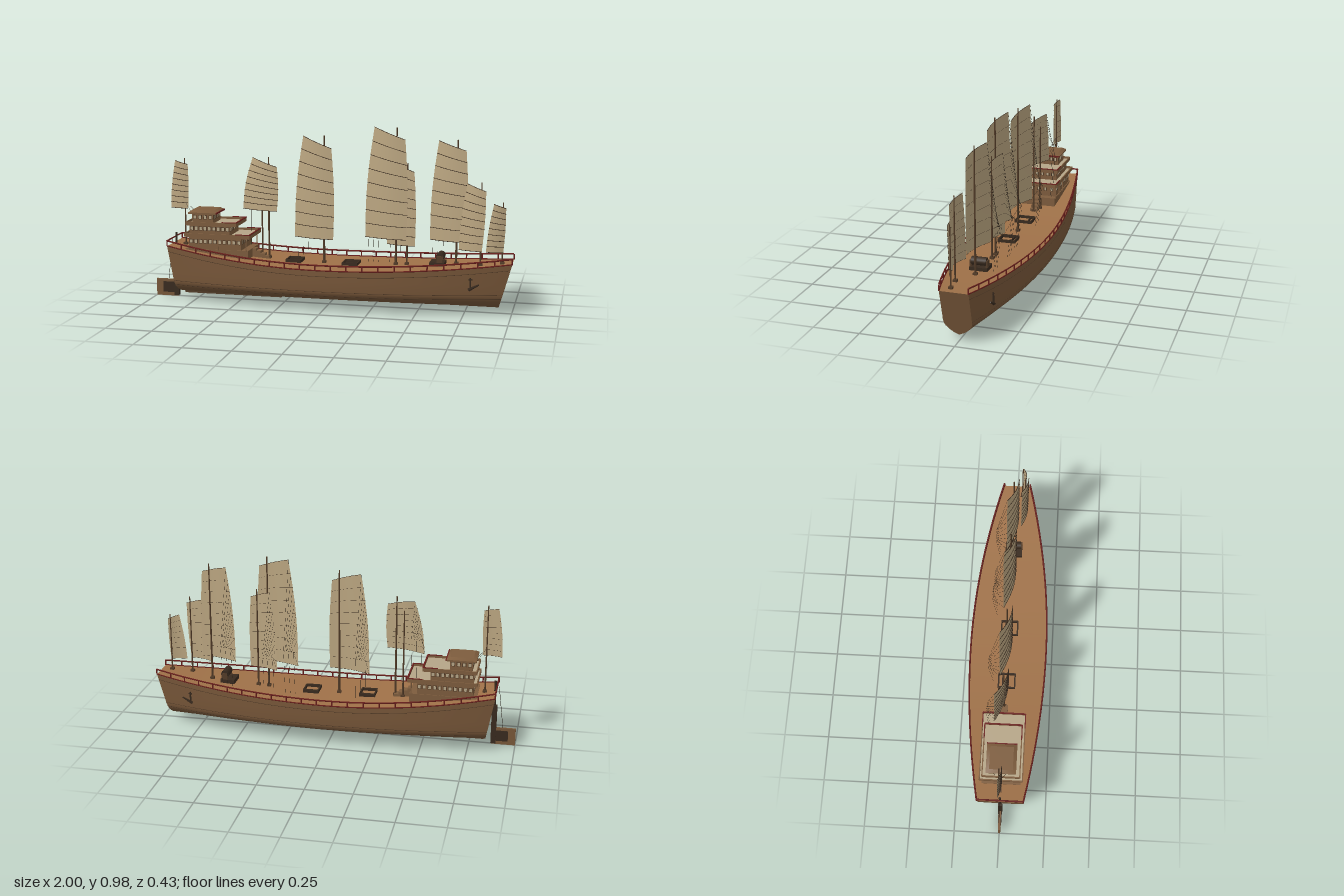
import * as THREE from 'three';

export function createModel() {
  const root = new THREE.Group();
  const mat = (name, color, side = THREE.FrontSide) => {
    const m = new THREE.MeshStandardMaterial({ color, side });
    m.name = name;
    return m;
  };
  const M = {
    hull: mat('hullWood', 0x785739, THREE.DoubleSide),
    deck: mat('deckWood', 0x9f7148, THREE.DoubleSide),
    sail: mat('sailCloth', 0xbaa580, THREE.DoubleSide),
    dark: mat('darkWood', 0x382a1e),
    rail: mat('redRail', 0x6a1f1c),
    wall: mat('houseWood', 0x7d5c3d),
    beige: mat('paleDeck', 0xb5a587),
    rope: mat('rope', 0x2c241b),
    spar: mat('sparWood', 0x533c28),
  };

  // ---- helpers ----
  const add = (name, geo, m, parent = root) => {
    const mesh = new THREE.Mesh(geo, m);
    mesh.name = name;
    parent.add(mesh);
    return mesh;
  };
  const group = (name) => {
    const g = new THREE.Group();
    g.name = name;
    root.add(g);
    return g;
  };
  const box = (name, x0, x1, y0, y1, z0, z1, m, parent) => {
    const b = add(name, new THREE.BoxGeometry(x1 - x0, y1 - y0, z1 - z0), m, parent);
    b.position.set((x0 + x1) / 2, (y0 + y1) / 2, (z0 + z1) / 2);
    return b;
  };
  const V = (x, y, z) => new THREE.Vector3(x, y, z);
  const rod = (name, a, b, r0, r1, m, parent, sides = 4) => {
    const d = b.clone().sub(a);
    const c = add(name, new THREE.CylinderGeometry(r1, r0, d.length(), sides), m, parent);
    c.position.copy(a).add(b).multiplyScalar(0.5);
    c.quaternion.setFromUnitVectors(V(0, 1, 0), d.normalize());
    return c;
  };
  const grid = (nu, nv, f) => {
    const pos = [], idx = [];
    for (let i = 0; i <= nu; i++) for (let j = 0; j <= nv; j++) pos.push(...f(i / nu, j / nv).toArray());
    for (let i = 0; i < nu; i++) for (let j = 0; j < nv; j++) {
      const a = i * (nv + 1) + j, b = a + nv + 1;
      idx.push(a, b, a + 1, b, b + 1, a + 1);
    }
    const g = new THREE.BufferGeometry();
    g.setAttribute('position', new THREE.Float32BufferAttribute(pos, 3));
    g.setIndex(idx);
    g.computeVertexNormals();
    return g;
  };
  const tube = (name, pts, r, m, parent, seg = 40) =>
    add(name, new THREE.TubeGeometry(new THREE.CatmullRomCurve3(pts), seg, r, 4), m, parent);

  // ---- hull lines: sheer height, half breadth, raked ends ----
  const deckY = (x) => 0.235 + (x > 0 ? 0.052 : 0.1) * x * x;
  const halfW = (x) => 0.212 - (x > 0 ? 0.137 : 0.11) * x * x;
  const section = [[1, 1], [0.18, 1], [0.12, 0.995], [0.1, 0.965], [0.084, 0.86], [0.067, 0.66], [0.05, 0.36], [0.037, 0]];
  const hullPoint = (s, y, w) => {
    const nx = -0.89 + 1.89 * s;
    const x0 = -0.89 + 0.05 * (0.314 - y) / 0.27, x1 = 1 - 0.07 * (0.287 - y) / 0.25;
    return V(x0 + (x1 - x0) * s, y, halfW(nx) * w);
  };
  const rib = (s, k, side) => {
    const [y, w] = section[k];
    return hullPoint(s, k === 0 ? deckY(-0.89 + 1.89 * s) : y, w * side);
  };
  add('hullShell', grid(48, 14, (u, v) => {
    const j = Math.round(v * 14);
    return j <= 7 ? rib(u, j, 1) : rib(u, 14 - j, -1);
  }), M.hull);
  [['sternTransom', 0], ['bowTransom', 1]].forEach(([n, s]) =>
    add(n, grid(2, 7, (u, v) => rib(s, Math.round(v * 7), 1 - 2 * u)), M.hull));
  add('mainDeck', grid(48, 2, (u, v) => rib(u, 0, 1 - 2 * v)), M.deck);
  box('keel', -0.83, -0.27, 0.028, 0.04, -0.006, 0.006, M.spar);

  // wales and guard rails on both sides
  for (const side of [1, -1]) {
    const along = (f) => Array.from({ length: 25 }, (_, i) => f(i / 24));
    tube('wale', along((s) => hullPoint(s, 0.1, side * 0.965)), 0.0025, M.spar);
    tube('upperWale', along((s) => hullPoint(s, 0.122, side * 0.995)), 0.0015, M.spar);
    tube('sheerStrake', along((s) => hullPoint(s, deckY(-0.89 + 1.89 * s) - 0.03, side)), 0.0015, M.spar);
    const edge = (h) => along((s) => rib(s, 0, side).add(V(0, h, 0)));
    tube('capRail', edge(0.03), 0.0045, M.rail, root, 60);
    tube('footRail', edge(0.002), 0.0035, M.rail, root, 60);
    for (let i = 0; i <= 22; i++) {
      const p = rib(i / 22, 0, side);
      rod('railPost', p, p.clone().add(V(0, 0.03, 0)), 0.004, 0.004, M.rail);
    }
    // anchor hung at the bow
    const a = group('anchor'), z = side * (halfW(0.8) + 0.006);
    rod('anchorShank', V(0.79, 0.155, z), V(0.79, 0.22, z), 0.005, 0.004, M.dark, a);
    rod('anchorFluke', V(0.78, 0.155, z), V(0.835, 0.185, z), 0.009, 0.004, M.dark, a);
    rod('anchorStock', V(0.78, 0.21, z), V(0.8, 0.21, z), 0.004, 0.004, M.dark, a);
  }
  rod('sternRail', V(-0.89, 0.344, -0.125), V(-0.89, 0.344, 0.125), 0.0045, 0.0045, M.rail);

  // ---- rudder ----
  const rudder = group('rudder');
  box('rudderBlade', -1, -0.87, 0.005, 0.1, -0.006, 0.006, M.hull, rudder);
  box('rudderPanel', -0.96, -0.87, 0.025, 0.085, -0.009, 0.009, M.dark, rudder);
  box('rudderPost', -0.895, -0.867, 0.01, 0.23, -0.011, 0.011, M.dark, rudder);
  rod('rudderStock', V(-0.88, 0.22, 0), V(-0.88, 0.37, 0), 0.006, 0.006, M.dark, rudder);
  rod('rudderTackle', V(-0.93, 0.1, 0), V(-0.9, 0.34, 0), 0.0012, 0.0012, M.rope, rudder);

  // ---- stern house: three stepped tiers ----
  const house = group('sternHouse');
  const tier = (x0, x1, y0, y1, hz, n) => {
    box('houseWall', x0, x1, y0, y1, -hz, hz, M.wall, house);
    const yc = y0 + (y1 - y0) * 0.62, h = 0.009, step = (x1 - x0) / n;
    for (let i = 0; i < n; i++) {
      const x = x0 + step * (i + 0.5);
      for (const s of [1, -1]) {
        box('windowFrame', x - 0.011, x + 0.011, yc - h - 0.003, yc + h + 0.003, s * hz - 0.002, s * hz + 0.002, M.spar, house);
        box('windowPane', x - 0.007, x + 0.007, yc - h, yc + h, s * hz - 0.003, s * hz + 0.003, M.beige, house);
      }
    }
    for (let i = -2; i <= 2; i++) for (const x of [x0, x1]) {
      const z = i * hz * 0.38;
      box('windowFrame', x - 0.002, x + 0.002, yc - h - 0.003, yc + h + 0.003, z - 0.01, z + 0.01, M.spar, house);
      box('windowPane', x - 0.003, x + 0.003, yc - h, yc + h, z - 0.005, z + 0.005, M.beige, house);
    }
  };
  const terrace = (x0, x1, y, hz) => {
    box('terrace', x0, x1, y, y + 0.008, -hz, hz, M.beige, house);
    for (const s of [1, -1]) {
      box('parapet', x0, x1, y, y + 0.02, s * hz - 0.003, s * hz + 0.003, M.wall, house);
      box('redTrim', x1 - 0.08, x1, y + 0.02, y + 0.024, s * hz - 0.003, s * hz + 0.003, M.rail, house);
    }
    for (const x of [x0, x1]) box('parapet', x - 0.003, x + 0.003, y, y + 0.02, -hz, hz, M.wall, house);
    box('redTrim', x1 - 0.004, x1 + 0.004, y + 0.02, y + 0.024, -hz, hz, M.rail, house);
  };
  box('porch', -0.79, -0.43, 0.24, 0.302, -0.105, 0.105, M.wall, house);
  tier(-0.77, -0.47, 0.3, 0.372, 0.1, 11);
  terrace(-0.79, -0.42, 0.37, 0.115);
  tier(-0.77, -0.54, 0.378, 0.436, 0.085, 9);
  terrace(-0.785, -0.5, 0.432, 0.1);
  tier(-0.76, -0.64, 0.44, 0.495, 0.068, 4);
  for (const x of [-0.6, -0.52, -0.44]) for (const s of [1, -1])
    box('porchPost', x - 0.003, x + 0.003, 0.3, 0.37, s * 0.108 - 0.003, s * 0.108 + 0.003, M.wall, house);
  for (let i = 0; i < 4; i++)
    box('porchStep', -0.43, -0.41 + i * 0.025, 0.24, 0.3 - i * 0.013, -0.03, 0.015, M.wall, house);
  box('roofEave', -0.78, -0.62, 0.492, 0.5, -0.08, 0.08, M.wall, house);
  box('eaveTrim', -0.622, -0.616, 0.494, 0.502, -0.08, 0.08, M.rail, house);
  const roof = add('roofTop', new THREE.CylinderGeometry(0.55, 0.7071, 0.012, 4).rotateY(Math.PI / 4), M.wall, house);
  roof.scale.set(0.16, 1, 0.16);
  roof.position.set(-0.7, 0.506, 0);

  // ---- open framed deck hatches and windlass ----
  for (const x of [-0.19, 0.125]) {
    const y = deckY(x), hatch = group('hatch');
    for (const s of [1, -1]) {
      box('hatchSide', x - 0.043, x + 0.043, y, y + 0.016, s * 0.045 - 0.004, s * 0.045 + 0.004, M.dark, hatch);
      box('hatchEnd', x + s * 0.04 - 0.004, x + s * 0.04 + 0.004, y, y + 0.016, -0.045, 0.045, M.dark, hatch);
    }
    box('hatchBeam', x - 0.04, x + 0.04, y, y + 0.012, -0.026, -0.021, M.dark, hatch);
  }
  const windlass = group('windlass');
  box('windlassBed', 0.56, 0.64, 0.245, 0.275, -0.048, 0.048, M.dark, windlass);
  for (const z of [-0.042, 0.042]) box('windlassCheek', 0.598, 0.632, 0.27, 0.31, z - 0.005, z + 0.005, M.spar, windlass);
  rod('windlassDrum', V(0.615, 0.303, -0.04), V(0.615, 0.303, 0.04), 0.022, 0.022, M.dark, windlass, 12);

  // ---- masts and battened sails ----
  // corners: b = bottom x, y = bottom height, t/ty = top x and y, z = left and right depth
  const rigs = [
    { n: 'sternRig', b: [-0.91, -0.805], y: 0.51, t: [-0.882, -0.803], ty: [0.775, 0.757], z: [-0.012, 0.005], mast: [-0.825, 0.79], sheet: 0 },
    { n: 'mizzenRig', b: [-0.5, -0.29], y: 0.513, t: [-0.443, -0.288], ty: [0.8, 0.757], z: [-0.05, 0.015], mast: [-0.34, 0.81], sheet: -0.09 },
    { n: 'aftMainRig', b: [-0.2, 0.028], y: 0.37, t: [-0.152, 0.018], ty: [0.927, 0.868], z: [-0.037, 0.02], mast: [-0.028, 0.935], sheet: -0.1 },
    { n: 'mainRig', b: [0.195, 0.43], y: 0.385, t: [0.243, 0.42], ty: [0.985, 0.925], z: [-0.037, 0.02], mast: [0.37, 0.987], sheet: -0.1 },
    { n: 'smallMidRig', b: [0.315, 0.475], y: 0.35, t: [0.35, 0.468], ty: [0.795, 0.752], z: [-0.04, 0.005], mast: [0.43, 0.8], sheet: -0.095 },
    { n: 'foreMainRig', b: [0.55, 0.755], y: 0.385, t: [0.592, 0.745], ty: [0.92, 0.875], z: [-0.037, 0.02], mast: [0.697, 0.93], sheet: -0.1 },
    { n: 'foreRig', b: [0.715, 0.84], y: 0.35, t: [0.755, 0.857], ty: [0.705, 0.67], z: [0.035, 0.068], mast: [0.832, 0.715], mz: 0.058, sheet: 0 },
    { n: 'bowRig', b: [0.86, 0.95], y: 0.345, t: [0.898, 0.96], ty: [0.603, 0.58], z: [0.052, 0.038], mast: [0.945, 0.61], mz: 0.04, sheet: 0 },
  ];
  const mast = (x, top, z, r, parent) => {
    const y = deckY(x);
    rod('mast', V(x, y - 0.02, z), V(x, top, z), r, r * 0.6, M.spar, parent, 8);
    box('mastStep', x - 0.011, x + 0.011, y, y + 0.012, z - 0.011, z + 0.011, M.spar, parent);
  };
  for (const r of rigs) {
    const g = group(r.n), w = r.b[1] - r.b[0], mz = r.mz ?? 0;
    const L = THREE.MathUtils.lerp;
    const at = (u, v) => {
      const bulge = Math.sin(Math.PI * v) * w;
      const xl = L(r.b[0], r.t[0], v) - 0.06 * bulge, xr = L(r.b[1], r.t[1], v) + 0.04 * bulge;
      return V(L(xl, xr, u), L(r.y, L(r.ty[0], r.ty[1], u), v), L(r.z[0], r.z[1], u) + 0.07 * w * Math.sin(Math.PI * u));
    };
    add('sail', grid(8, 16, at), M.sail, g);
    mast(r.mast[0], r.mast[1], mz - 0.006, 0.0035 + w * 0.012, g);
    const rows = 8;
    for (let i = 0; i <= rows; i++) {
      const v = i / rows;
      // battens lie on the front face of the cloth
      tube('batten', [0, 0.25, 0.5, 0.75, 1].map((u) => at(u, v).add(V(0, 0, 0.0012))), 0.0016, M.dark, g, 8);
      if (r.sheet) {
        // sheets fan from the leech to a row of blocks, then fall to the deck
        const x = r.b[0] + 0.01 + 0.007 * i, block = V(x, r.y + 0.1, r.sheet);
        rod('sheet', at(0, v), block, 0.0006, 0.0006, M.rope, g, 3);
        if (i % 4 === 0) rod('sheetFall', block, V(x, deckY(x), -0.075), 0.0006, 0.0006, M.rope, g, 3);
      }
    }
  }
  mast(-0.385, 0.74, -0.03, 0.005, root);
  for (const z of [-0.07, 0.05])
    rod('sternStay', V(-0.825, 0.55, 0), V(-0.74, 0.44, z), 0.0008, 0.0008, M.rope, root, 3);
  return root;
}
